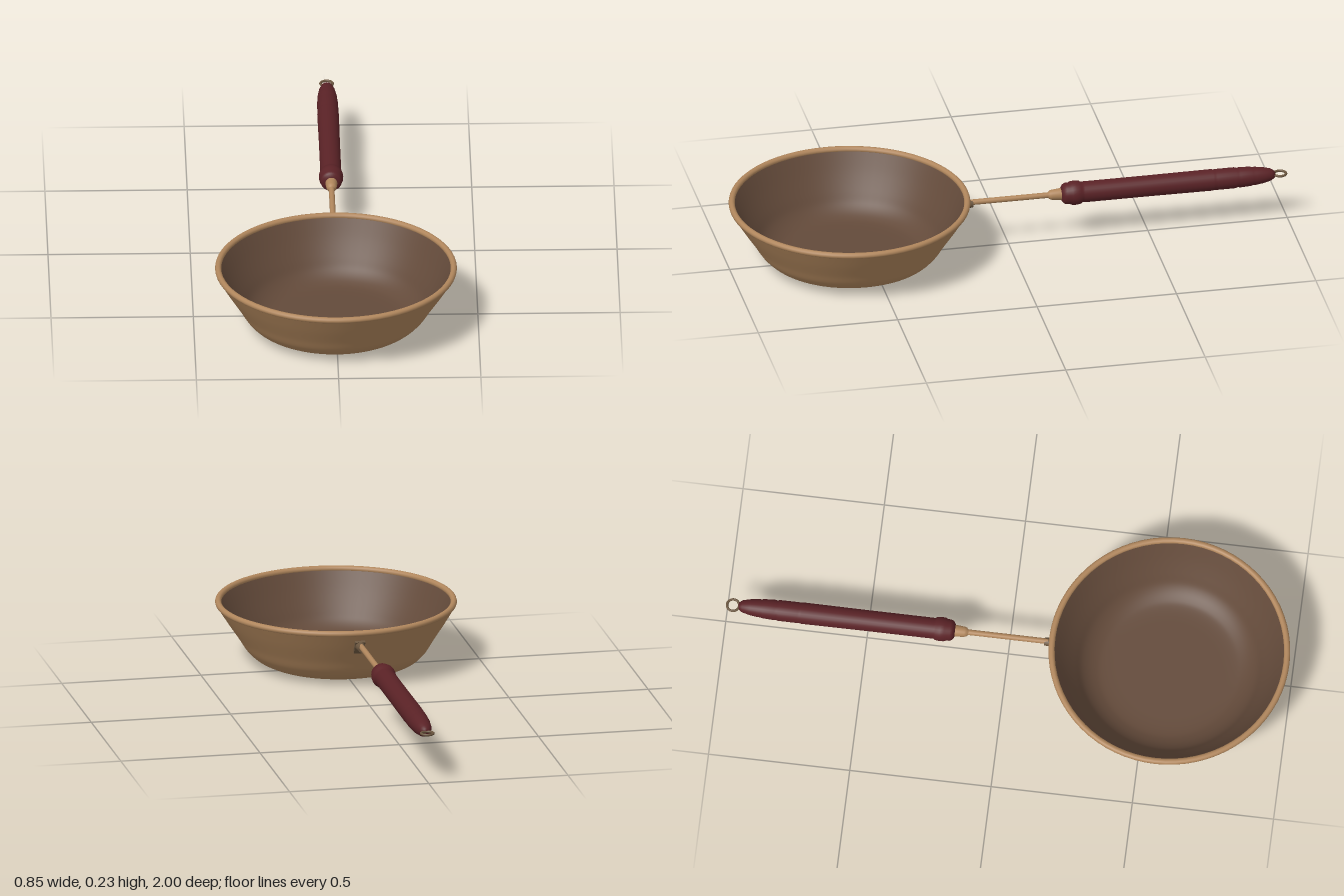
import * as THREE from 'three';

const BOWL_Z = 0.57; // centre of the bowl
const GRIP_Y = 0.178; // height of the handle axis

const material = (name, color) => {
  const m = new THREE.MeshStandardMaterial({ color });
  m.name = name;
  return m;
};

const points = (list) => list.map(([r, y]) => new THREE.Vector2(r, y));

// Smooth a short profile with a spline, keeping radii non-negative
const smooth = (list, n) => new THREE.SplineCurve(points(list)).getPoints(n)
  .map((p) => new THREE.Vector2(Math.max(p.x, 0), p.y));

export function createModel() {
  const bronze = material('bronze', 0xb0865c);
  const darkMetal = material('dark interior metal', 0x634a3a);
  const wood = material('dark red wood', 0x5a2226);
  const iron = material('iron', 0x6b563f);

  const model = new THREE.Group();
  model.name = 'fryingPan';

  const add = (name, geometry, mat, x = 0, y = 0, z = 0, parent = model) => {
    const mesh = new THREE.Mesh(geometry, mat);
    mesh.name = name;
    mesh.position.set(x, y, z);
    parent.add(mesh);
    return mesh;
  };

  // Hand-beaten base: slightly lower on one side, fading out toward the rim
  const uneven = (geometry) => {
    const p = geometry.attributes.position;
    for (let i = 0; i < p.count; i++) {
      const x = p.getX(i), y = p.getY(i), z = p.getZ(i);
      const fade = 1 - y / 0.23;
      p.setY(i, y + fade * (0.016 * x + 0.002 * Math.sin(9 * z + 4 * x)));
    }
    geometry.computeBoundingSphere();
    return geometry;
  };

  // Bowl
  const bowl = new THREE.Group();
  bowl.name = 'bowl';
  bowl.position.z = BOWL_Z;
  model.add(bowl);

  const outer = smooth([[0, 0.007], [0.12, 0.007], [0.23, 0.008], [0.28, 0.021],
    [0.317, 0.053], [0.347, 0.1], [0.385, 0.158], [0.42, 0.215]], 40);
  add('bowlOutside', uneven(new THREE.LatheGeometry(outer, 72)), bronze, 0, 0, 0, bowl);

  const inner = smooth([[0.408, 0.224], [0.37, 0.158], [0.332, 0.1], [0.303, 0.06],
    [0.265, 0.034], [0.22, 0.024], [0.11, 0.023], [0, 0.023]], 40);
  add('bowlInside', uneven(new THREE.LatheGeometry(inner, 72)), darkMetal, 0, 0, 0, bowl);

  const rim = new THREE.TorusGeometry(0.414, 0.011, 12, 72).rotateX(Math.PI / 2);
  add('rim', rim, bronze, 0, 0.222, 0, bowl);

  // Handle parts are turned around an axis that runs backward (-z)
  const handle = new THREE.Group();
  handle.name = 'handle';
  handle.position.y = GRIP_Y;
  model.add(handle);
  const turned = (name, profile, mat) =>
    add(name, new THREE.LatheGeometry(profile, 28).rotateX(-Math.PI / 2), mat, 0, 0, 0, handle);

  // Metal rod with a flared ferrule
  turned('rod', points([[0, -0.17], [0.010, -0.17], [0.010, 0.145]]), bronze);
  turned('ferrule', points([[0.009, 0.14], [0.016, 0.148], [0.018, 0.155],
    [0.021, 0.185], [0.021, 0.2]]), bronze);

  // Wooden grip with a bulged collar, shallow grooves and a tapered end
  turned('grip', points([
    [0, 0.188], [0.022, 0.188], [0.034, 0.196], [0.038, 0.205], [0.038, 0.215],
    [0.042, 0.225], [0.043, 0.24], [0.041, 0.255], [0.036, 0.262], [0.037, 0.27],
    [0.037, 0.5], [0.038, 0.73], [0.036, 0.737], [0.037, 0.745],
    [0.037, 0.812], [0.034, 0.82], [0.036, 0.828], [0.034, 0.868], [0.032, 0.874],
    [0.032, 0.885], [0.028, 0.915], [0.021, 0.942], [0.012, 0.954], [0, 0.956],
  ]), wood);

  // Hanging ring
  const ring = new THREE.TorusGeometry(0.0215, 0.0045, 10, 32).rotateX(Math.PI / 2);
  add('hangingRing', ring, iron, 0, 0, -0.974, handle);

  // Bracket: a plate lying on the sloped wall and a socket for the rod
  const plate = add('bracketPlate', new THREE.BoxGeometry(0.036, 0.055, 0.012), iron,
    0, 0.168, 0.175);
  plate.rotation.x = -0.53;
  add('bracketSocket', new THREE.CylinderGeometry(0.014, 0.018, 0.05, 16).rotateX(-Math.PI / 2),
    iron, 0, 0.173, 0.153);

  return model;
}
